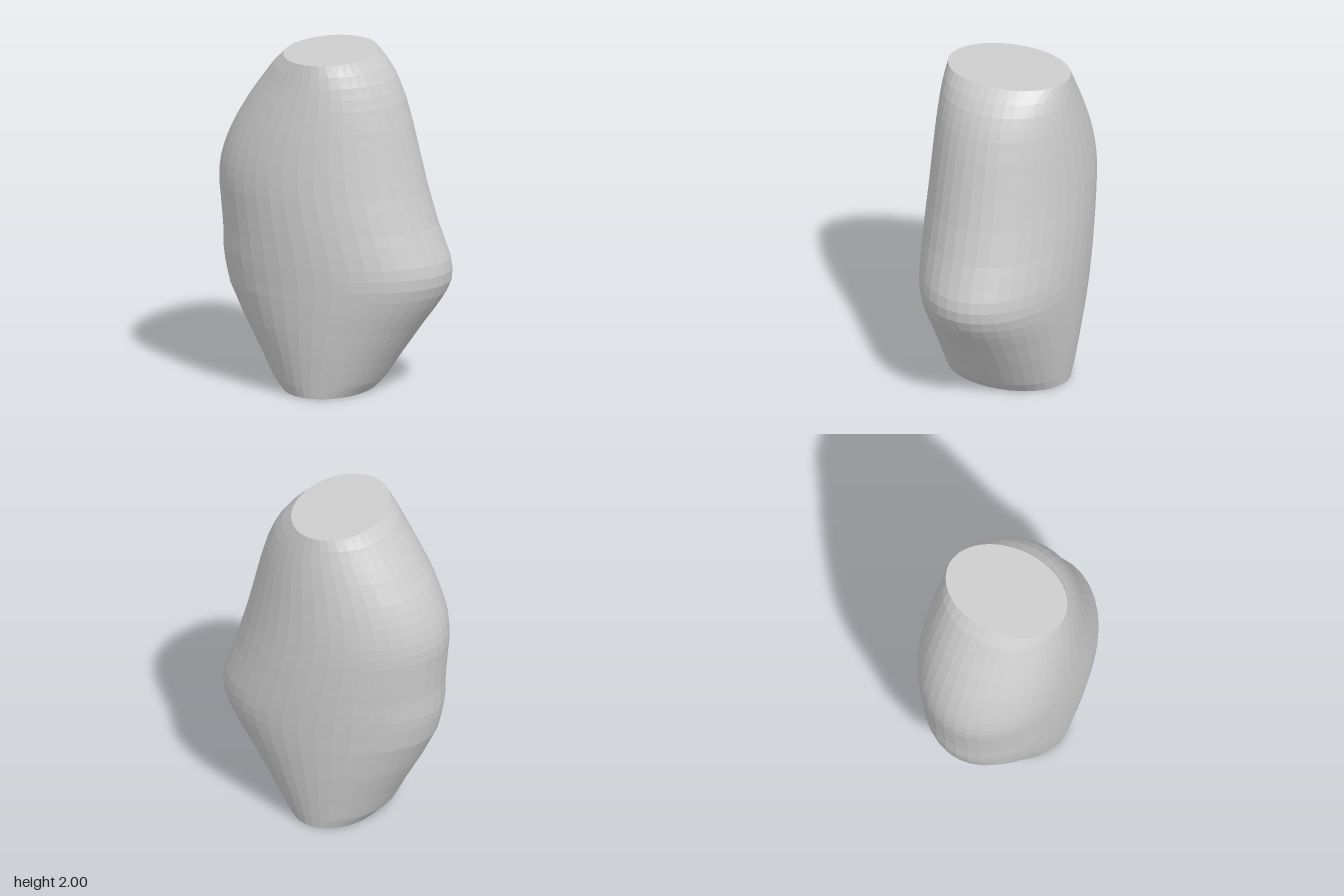
import * as THREE from 'three';

// Side outlines as [height, x], bottom to top
const leftEdge = [[0, 0.23], [0.07, 0.295], [0.2, 0.38], [0.4, 0.52], [0.5, 0.595], [0.58, 0.65], [0.65, 0.685],
  [0.71, 0.697], [0.78, 0.69], [0.87, 0.655], [1, 0.605], [1.2, 0.545], [1.4, 0.495], [1.6, 0.445],
  [1.75, 0.4], [1.85, 0.355], [1.92, 0.31], [1.97, 0.26], [2, 0.23]];
const rightEdge = [[0, -0.3], [0.07, -0.365], [0.2, -0.43], [0.4, -0.54], [0.6, -0.635], [0.72, -0.665],
  [0.8, -0.675], [0.95, -0.677], [1.03, -0.685], [1.1, -0.69], [1.2, -0.7], [1.3, -0.7], [1.4, -0.675],
  [1.5, -0.64], [1.6, -0.59], [1.75, -0.5], [1.93, -0.37], [2, -0.3]];

// Outline x at a given height
function edgeAt(points, y) {
  let i = 1;
  while (i < points.length - 1 && points[i][0] < y) i++;
  const [y0, x0] = points[i - 1];
  const [y1, x1] = points[i];
  return THREE.MathUtils.mapLinear(y, y0, y1, x0, x1);
}

export function createModel() {
  const model = new THREE.Group();
  model.name = 'stone';
  const stone = new THREE.MeshStandardMaterial({ color: 0xcccccc, flatShading: true });
  stone.name = 'pale grey stone';

  // Capped cylinder whose rings become ellipses spanning the two outlines
  const geometry = new THREE.CylinderGeometry(1, 1, 2, 40, 30);
  geometry.translate(0, 1, 0);
  const pos = geometry.attributes.position;
  for (let i = 0; i < pos.count; i++) {
    const y = THREE.MathUtils.clamp(pos.getY(i), 0, 2);
    const a = edgeAt(leftEdge, y);
    const b = edgeAt(rightEdge, y);
    const depth = 0.375 + 0.09 * (1 - (y - 1) ** 2);
    pos.setXYZ(i, (a + b) / 2 + pos.getX(i) * (a - b) / 2, y, pos.getZ(i) * depth);
  }
  geometry.computeVertexNormals();

  const body = new THREE.Mesh(geometry, stone);
  body.name = 'stoneBody';
  model.add(body);
  return model;
}
